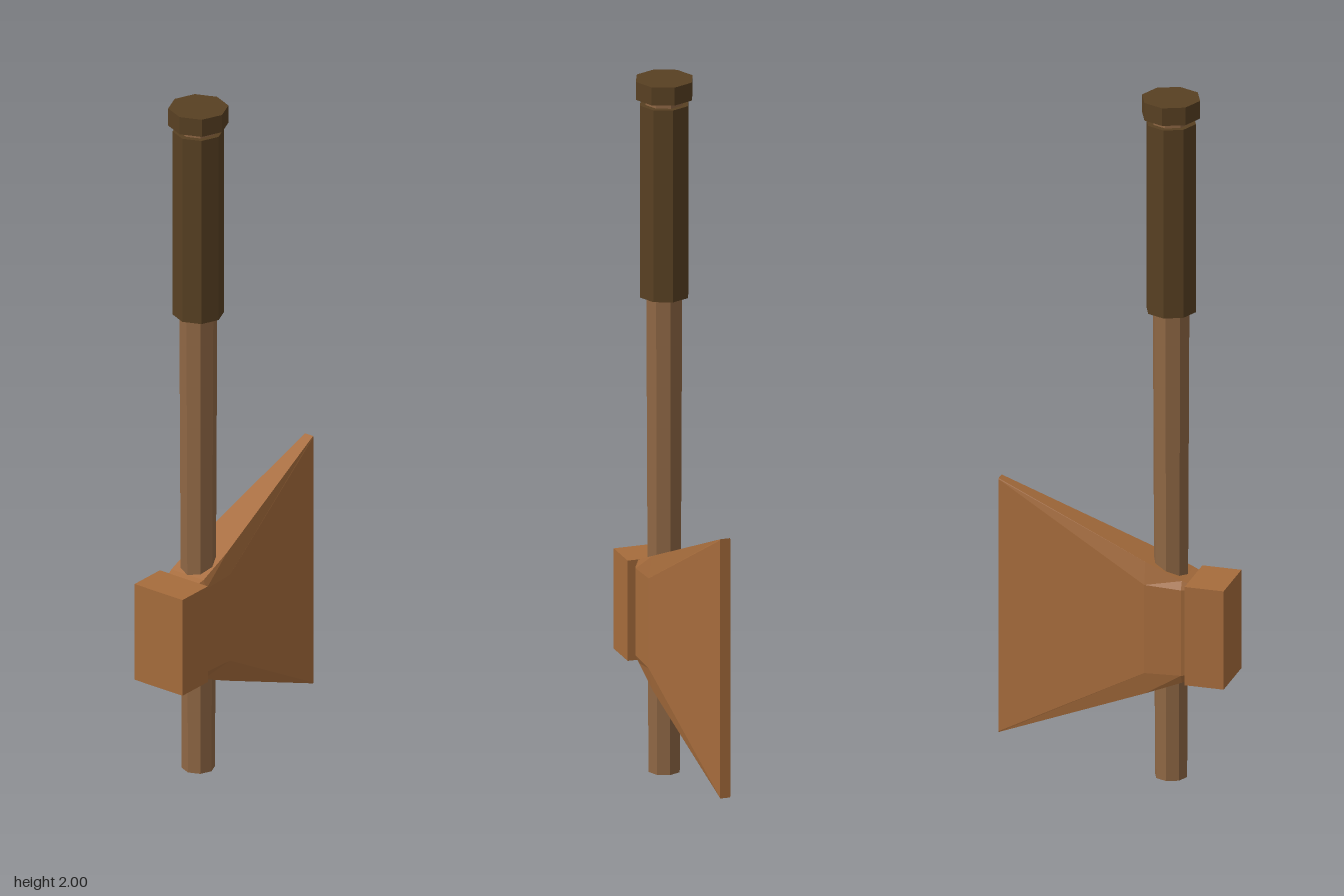
import * as THREE from 'three';

const AXIS_Z = 0.157; // handle centre line

const material = (name, color) => {
  const m = new THREE.MeshStandardMaterial({ color });
  m.name = name;
  return m;
};

// Flat-shaded solid skinned over cross-sections running from +z to -z
function loft(sections) {
  const pos = [];
  const n = sections[0].length;
  const tri = (a, b, c) => pos.push(...a, ...b, ...c);
  for (let s = 0; s < sections.length - 1; s++) {
    const A = sections[s], B = sections[s + 1];
    for (let i = 0; i < n; i++) {
      const j = (i + 1) % n;
      tri(A[i], B[i], B[j]);
      tri(A[i], B[j], A[j]);
    }
  }
  const first = sections[0], last = sections[sections.length - 1];
  for (let i = 1; i < n - 1; i++) {
    tri(first[0], first[i], first[i + 1]);
    tri(last[0], last[i + 1], last[i]);
  }
  const g = new THREE.BufferGeometry();
  g.setAttribute('position', new THREE.Float32BufferAttribute(pos, 3));
  g.computeVertexNormals();
  return g;
}

// Chamfered rectangle, counter-clockwise seen from +z
function section(z, sideX, sideY, topX, topY) {
  const c = 0.45; // height of the head's middle
  return [
    [sideX, c - sideY, z], [sideX, c + sideY, z],
    [topX, c + topY, z], [-topX, c + topY, z],
    [-sideX, c + sideY, z], [-sideX, c - sideY, z],
    [-topX, c - topY, z], [topX, c - topY, z],
  ];
}

export function createModel() {
  const group = new THREE.Group();
  const shaftWood = material('shaft wood', 0x8f6744);
  const gripLeather = material('dark grip', 0x584022);
  const headCopper = material('copper head', 0xa66c3c);

  const add = (name, geometry, mat) => {
    const mesh = new THREE.Mesh(geometry, mat);
    mesh.name = name;
    group.add(mesh);
    return mesh;
  };

  // Eight-sided handle pieces
  const rod = (name, rTop, rBottom, y0, y1, mat) => {
    const g = new THREE.CylinderGeometry(rTop, rBottom, y1 - y0, 8).toNonIndexed();
    g.computeVertexNormals();
    add(name, g, mat).position.set(0, (y0 + y1) / 2, AXIS_Z);
  };
  rod('shaft', 0.055, 0.046, 0, 1.96, shaftWood);
  rod('grip', 0.071, 0.071, 1.375, 1.93, gripLeather);
  rod('pommel', 0.083, 0.083, 1.948, 2, gripLeather);

  // Square poll in front of the handle
  add('poll', new THREE.BoxGeometry(0.167, 0.29, 0.112), headCopper)
    .position.set(0, 0.45, 0.277);

  // Flared blade behind the handle, thinning to a narrow flat edge
  add('blade', loft([
    section(0.222, 0.06, 0.125, 0.052, 0.144),
    section(0.205, 0.066, 0.126, 0.056, 0.15),
    section(0.1, 0.066, 0.13, 0.055, 0.194),
    section(-0.333, 0.015, 0.372, 0.014, 0.375),
  ]), headCopper);

  return group;
}
